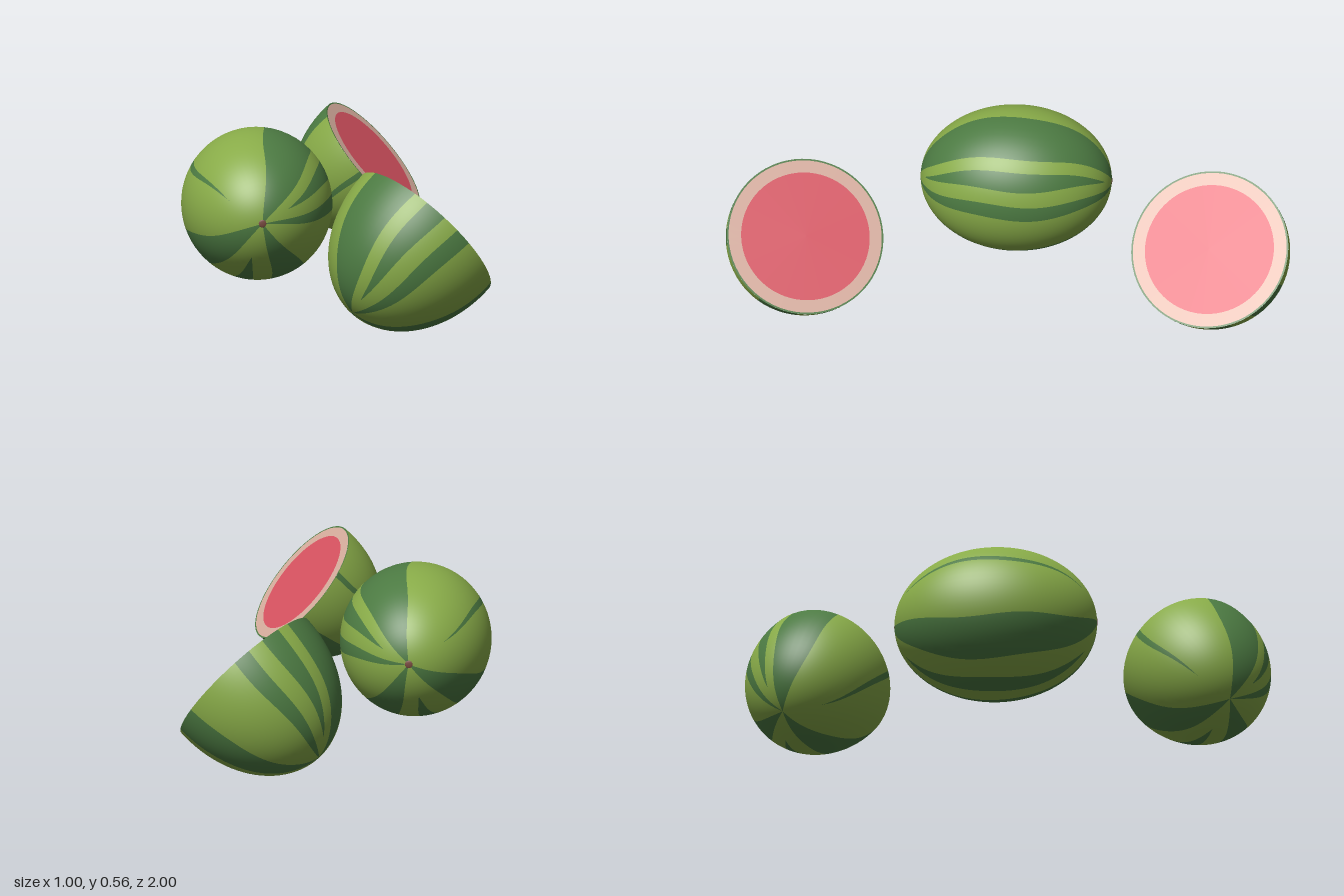
import * as THREE from 'three';

const mat = (name, color, side = THREE.FrontSide) => {
  const m = new THREE.MeshStandardMaterial({ color, side });
  m.name = name;
  return m;
};

// Dark stripes around the melon axis: [from, to] in degrees and, for short
// lens-shaped ones, the share of the length that they reach.
const STRIPES = [
  [-215, -210, 0.85],
  [-162, -130],
  [-112, -96, 0.86],
  [-80, -50],
  [-4, 8],
  [20, 35, 0.92],
  [45, 85],
];

// Angle of one edge of a stripe at polar angle t
function edgeAngle([from, to, reach], side, t) {
  const mid = (from + to) / 2;
  const z = Math.cos(t);
  const width = reach ? Math.sqrt(Math.max(0, 1 - (z / reach) ** 2)) : 1;
  const wobble = 1.5 * Math.sin(5 * t + mid);
  return THREE.MathUtils.degToRad(mid + wobble + side * width * (to - from) / 2);
}

// Lofted patch of the ellipsoid between two edge functions, from t0 to t1
function patch(a, l, t0, t1, edgeA, edgeB, cols) {
  const rows = Math.round(16 * (t1 - t0));
  const pos = [], nor = [], idx = [];
  const n = new THREE.Vector3();
  for (let i = 0; i <= rows; i++) {
    const t = t0 + (t1 - t0) * i / rows;
    for (let j = 0; j <= cols; j++) {
      const th = THREE.MathUtils.lerp(edgeA(t), edgeB(t), j / cols);
      const x = a * Math.sin(t) * Math.cos(th), y = a * Math.sin(t) * Math.sin(th), z = l * Math.cos(t);
      pos.push(x, y, z);
      n.set(x / a / a, y / a / a, z / l / l).normalize();
      nor.push(n.x, n.y, n.z);
      if (i < rows && j < cols) {
        const p = i * (cols + 1) + j, q = p + cols + 1;
        idx.push(p, q, q + 1, p, q + 1, p + 1);
      }
    }
  }
  const g = new THREE.BufferGeometry();
  g.setAttribute('position', new THREE.Float32BufferAttribute(pos, 3));
  g.setAttribute('normal', new THREE.Float32BufferAttribute(nor, 3));
  g.setIndex(idx);
  return g;
}

export function createModel() {
  const light = mat('light green rind', 0x88ab48);
  const dark = mat('dark green stripe', 0x4c7a42);
  const pale = mat('pale inner rind', 0xd6ac9d);
  const flesh = mat('red flesh', 0xd75260);
  const brown = mat('brown stem scar', 0x7a4a40);
  const model = new THREE.Group();

  const add = (group, name, geometry, material) => {
    const mesh = new THREE.Mesh(geometry, material);
    mesh.name = name;
    group.add(mesh);
    return mesh;
  };

  // Striped skin: alternating dark stripes and light gaps
  function addSkin(group, a, l, t0, t1) {
    STRIPES.forEach((s, k) => {
      const last = k === STRIPES.length - 1;
      const next = STRIPES[(k + 1) % STRIPES.length];
      const left = t => edgeAngle(s, -1, t), right = t => edgeAngle(s, 1, t);
      const nextLeft = t => edgeAngle(next, -1, t) + (last ? 2 * Math.PI : 0);
      add(group, 'darkStripe', patch(a, l, t0, t1, left, right, 6), dark);
      add(group, 'lightRind', patch(a, l, t0, t1, right, nextLeft, 10), light);
    });
  }

  // Whole melon lying along z
  const whole = new THREE.Group();
  whole.name = 'wholeMelon';
  whole.position.set(-0.224, 0.28, -0.006);
  addSkin(whole, 0.277, 0.362, 0, Math.PI);
  for (const s of [-1, 1]) {
    const scar = add(whole, 'stemScar', new THREE.SphereGeometry(0.014, 12, 8), brown);
    scar.scale.z = 0.2;
    scar.position.z = s * 0.361;
  }
  model.add(whole);

  // Half melon: normal is the way its cut face looks, pole the kept end (+1 or -1),
  // turn the roll of the stripes around the axis
  function addHalf(name, center, normal, pole, turn) {
    const half = new THREE.Group();
    half.name = name;
    const a = 0.28, l = 0.365;
    addSkin(half, a, l, pole > 0 ? 0 : Math.PI / 2, pole > 0 ? Math.PI / 2 : Math.PI);

    // Cut face: skin edge, pale rind and flesh
    const parts = [
      ['skinEdge', new THREE.RingGeometry(0.274, a, 64), dark],
      ['paleRind', new THREE.RingGeometry(0.23, 0.274, 64), pale],
      ['flesh', new THREE.CircleGeometry(0.23, 64), flesh],
    ];
    for (const [part, geometry, material] of parts) {
      const mesh = add(half, part, geometry, material);
      if (pole > 0) mesh.rotation.y = Math.PI;
    }

    // Orientation from the cut normal and the roll
    const n = new THREE.Vector3(...normal).normalize();
    const e1 = new THREE.Vector3(0, 1, 0).addScaledVector(n, -n.y).normalize();
    const x = e1.applyAxisAngle(n, THREE.MathUtils.degToRad(turn));
    const z = n.clone().multiplyScalar(-pole);
    const y = z.clone().cross(x);
    half.quaternion.setFromRotationMatrix(new THREE.Matrix4().makeBasis(x, y, z));
    half.position.set(...center);
    model.add(half);
  }
  addHalf('frontHalfMelon', [0.292, 0.319, 0.711], [0.69, 0.65, -0.32], 1, 80);
  addHalf('backHalfMelon', [0.294, 0.32, -0.712], [0.70, 0.66, 0.27], -1, -52);

  return model;
}
